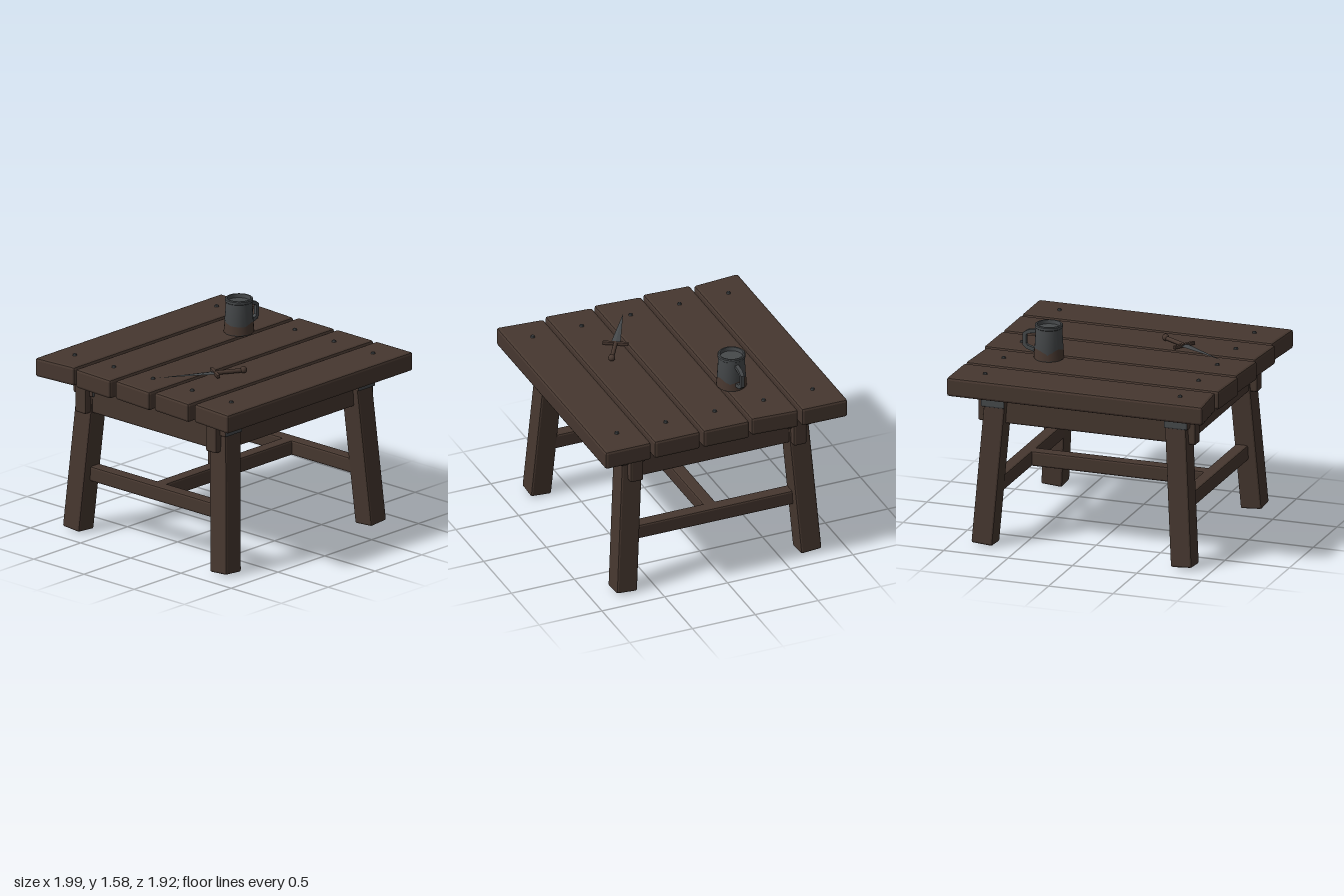
import * as THREE from 'three';
import { toCreasedNormals } from 'three/addons/utils/BufferGeometryUtils.js';
import { RoundedBoxGeometry } from 'three/addons/geometries/RoundedBoxGeometry.js';

const material = (name, color) => {
  const m = new THREE.MeshStandardMaterial({ color });
  m.name = name;
  return m;
};

export function createModel() {
  const model = new THREE.Group();
  model.name = 'tavernTable';
  const wood = material('darkWood', 0x46372f);
  const metal = material('dullMetal', 0x46494b);
  const rust = material('rustyBrown', 0x483830);

  const add = (name, geometry, mat, x, y, z, parent = model) => {
    const mesh = new THREE.Mesh(geometry, mat);
    mesh.name = name;
    mesh.position.set(x, y, z);
    parent.add(mesh);
    return mesh;
  };

  // Timber with worn, faceted edges
  const timber = (w, h, d, bevel = 0.015) => {
    const g = new RoundedBoxGeometry(w, h, d, 1, bevel);
    g.computeVertexNormals();
    return g;
  };

  // Table top: x of each plank's back left, front left, back right, front right corner
  const ends = [
    [-0.995, -0.965, 0.995, 0.99],
    [-0.98, -1, 0.99, 0.965],
    [-0.975, -1, 0.99, 0.985],
    [-0.975, -1, 0.985, 0.985],
    [-0.965, -0.995, 0.985, 0.985],
  ];
  ends.forEach(([bl, fl, br, fr], i) => {
    const z = (i - 2) * 0.39;
    const g = timber(2, 0.145, 0.365, 0.02);
    const p = g.attributes.position;
    for (let k = 0; k < p.count; k++) {
      const t = p.getZ(k) / 0.365 + 0.5;
      const right = p.getX(k) > 0;
      const end = right ? THREE.MathUtils.lerp(br, fr, t) : THREE.MathUtils.lerp(bl, fl, t);
      p.setX(k, p.getX(k) + end - (right ? 1 : -1));
    }
    g.computeVertexNormals();
    add('plank', g, wood, 0, 1.25, z);
    for (const x of [-0.757, 0.757]) {
      const nail = new THREE.CylinderGeometry(0.011, 0.018, 0.016, 8);
      add('nail', toCreasedNormals(nail, 0.5), metal, x, 1.328, z - 0.005);
    }
  });

  // Splayed legs with a strap around each top
  for (const sx of [-1, 1]) {
    for (const sz of [-1, 1]) {
      const foot = new THREE.Vector3(0.775 * sx, 0.015, 0.735 * sz);
      const top = new THREE.Vector3(0.695 * sx, 1.18, 0.655 * sz);
      const dir = top.clone().sub(foot);
      const mid = foot.clone().add(top).multiplyScalar(0.5);
      const leg = add('leg', timber(0.165, dir.length(), 0.165), wood, mid.x, mid.y, mid.z);
      leg.quaternion.setFromUnitVectors(new THREE.Vector3(0, 1, 0), dir.normalize());
      add('strap', timber(0.185, 0.075, 0.195, 0.012),
        [rust, rust, metal, metal, metal, metal], 0.71 * sx, 1.095, 0.662 * sz);
    }
  }

  // Aprons under the top
  for (const s of [-1, 1]) {
    add('longApron', timber(1.69, 0.23, 0.105), wood, 0, 1.045, 0.65 * s);
    add('sideApron', timber(0.12, 0.23, 1.42), wood, 0.72 * s, 1.045, 0);
    add('sideStretcher', timber(0.1, 0.115, 1.38), wood, 0.715 * s, 0.45, 0);
  }
  add('middleStretcher', timber(1.4, 0.115, 0.1), wood, 0, 0.45, 0);

  // Mug
  const mug = new THREE.Group();
  mug.name = 'mug';
  mug.position.set(0.45, 1.322, -0.275);
  model.add(mug);
  const profile = [
    [0, 0], [0.106, 0], [0.11, 0.012], [0.097, 0.235], [0.103, 0.24],
    [0.103, 0.258], [0.097, 0.264], [0.086, 0.264], [0.083, 0.235], [0, 0.235],
  ].map(([x, y]) => new THREE.Vector2(x, y));
  add('mugBody', toCreasedNormals(new THREE.LatheGeometry(profile, 24), 0.6), metal, 0, 0, 0, mug);

  // Uneven stain around the lower part of the mug
  const stain = new THREE.CylinderGeometry(0.107, 0.112, 0.07, 24, 1, true);
  const sp = stain.attributes.position;
  for (let k = 0; k < sp.count; k++) {
    if (sp.getY(k) > 0) {
      const a = Math.atan2(sp.getX(k), sp.getZ(k));
      sp.setY(k, 0.034 + 0.012 * Math.sin(3 * a + 1) + 0.006 * Math.sin(5 * a));
    }
  }
  add('mugStain', stain, rust, 0, 0.042, 0, mug);

  // Angular handle
  const outline = [
    [0.09, 0.215], [0.165, 0.2], [0.2, 0.175], [0.2, 0.08], [0.17, 0.055], [0.1, 0.035],
    [0.1, 0.065], [0.16, 0.082], [0.174, 0.095], [0.174, 0.163], [0.155, 0.174], [0.09, 0.188],
  ].map(([x, y]) => new THREE.Vector2(x, y));
  const handle = new THREE.ExtrudeGeometry(new THREE.Shape(outline), { depth: 0.028, bevelEnabled: false });
  add('mugHandle', handle, metal, 0, 0, -0.014, mug);

  // Dagger lying on the top, its blade along local x
  const dagger = new THREE.Group();
  dagger.name = 'dagger';
  dagger.position.set(-0.395, 1.345, 0.275);
  dagger.rotation.y = 2.596;
  model.add(dagger);
  const blade = new THREE.ConeGeometry(0.036, 0.43, 4).rotateZ(-Math.PI / 2).scale(1, 0.2, 1);
  add('blade', toCreasedNormals(blade, 0.1), metal, 0.215, 0, 0, dagger);
  add('guard', timber(0.026, 0.026, 0.19, 0.006), rust, 0, 0, 0, dagger);
  add('grip', new THREE.CylinderGeometry(0.016, 0.016, 0.2, 10).rotateZ(Math.PI / 2), rust, -0.1, 0, 0, dagger);
  add('pommel', new THREE.SphereGeometry(0.026, 12, 8), rust, -0.215, 0.004, 0, dagger);

  return model;
}
